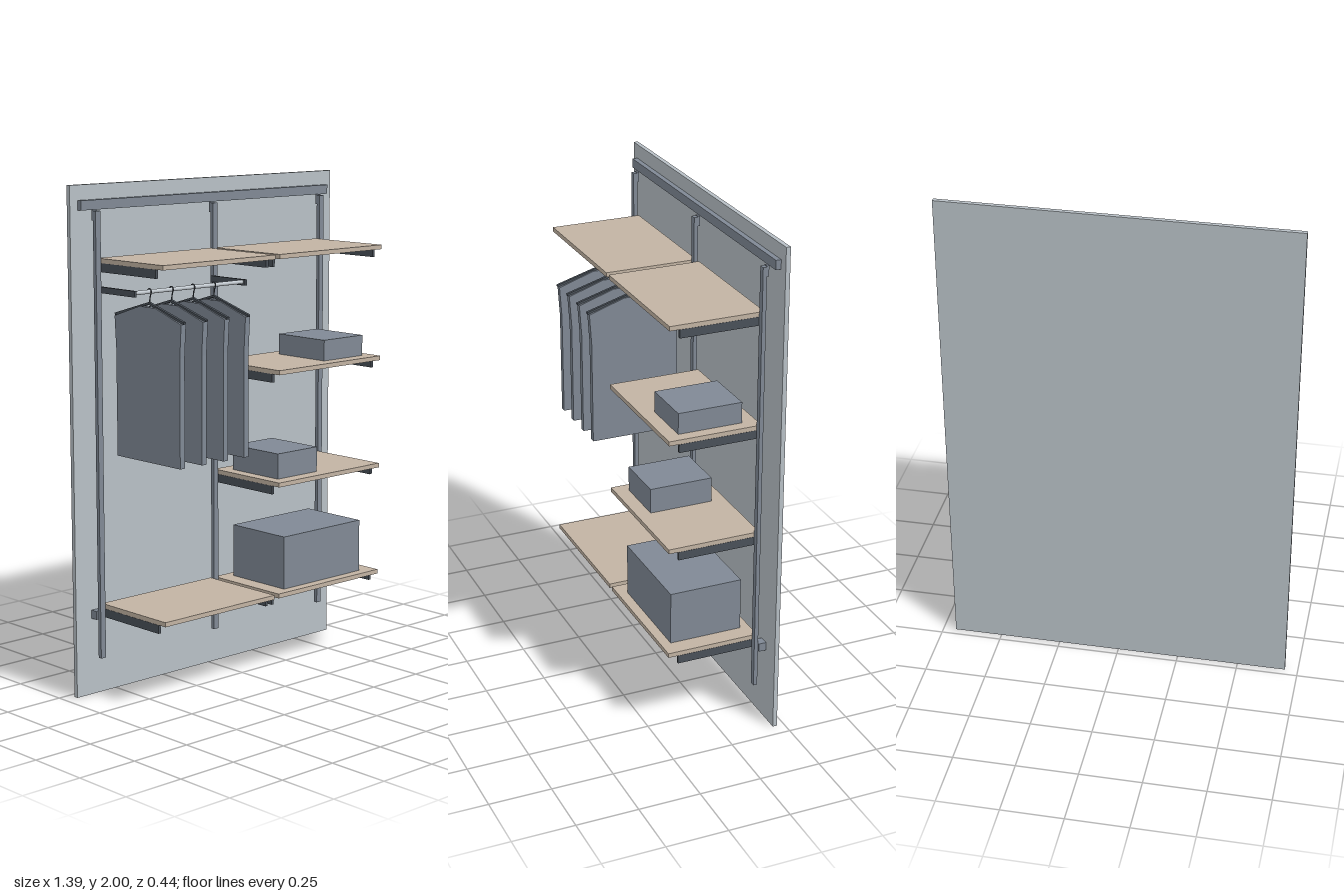
import * as THREE from 'three';

const mat = (name, color, side = THREE.FrontSide) => {
  const m = new THREE.MeshStandardMaterial({ color, side });
  m.name = name;
  return m;
};

export function createModel() {
  const group = new THREE.Group();
  const wallGrey = mat('wallGrey', 0xb8c0c6);
  const slateGrey = mat('slateGrey', 0x808995);
  const wood = mat('wood', 0xc2b3a3);
  const darkMetal = mat('darkMetal', 0x4a5159);
  const chrome = mat('chrome', 0xc5ccd2);

  const add = (name, geo, material, parent = group) => {
    const mesh = new THREE.Mesh(geo, material);
    mesh.name = name;
    parent.add(mesh);
    return mesh;
  };
  // box given by its lower and upper corners
  const box = (name, [x0, y0, z0], [x1, y1, z1], material) => {
    const mesh = add(name, new THREE.BoxGeometry(x1 - x0, y1 - y0, z1 - z0), material);
    mesh.position.set((x0 + x1) / 2, (y0 + y1) / 2, (z0 + z1) / 2);
    return mesh;
  };

  // wall panel and top hanging rail
  box('wallPanel', [-0.697, 0, -0.22], [0.697, 2, -0.202], wallGrey);
  box('topRail', [-0.66, 1.905, -0.202], [0.66, 1.942, -0.181], slateGrey);

  // uprights with their rail hooks and wall spacers
  for (const x of [-0.6, 0, 0.6]) {
    box('upright', [x - 0.012, 0.153, -0.171], [x + 0.012, 1.902, -0.155], slateGrey);
    box('railHook', [x - 0.01, 1.865, -0.18], [x + 0.01, 1.906, -0.171], slateGrey);
    box('wallSpacer', [x - 0.02, 0.308, -0.202], [x + 0.02, 0.342, -0.171], slateGrey);
  }

  // shelves, each on a pair of brackets
  const shelf = (x0, x1, top) => {
    box('shelf', [x0, top - 0.018, -0.177], [x1, top, 0.2], wood);
    for (const x of [x0 + 0.005, x1 - 0.005])
      box('shelfBracket', [x - 0.006, top - 0.052, -0.16], [x + 0.006, top - 0.018, 0.16], darkMetal);
  };
  for (const top of [1.722, 0.368]) shelf(-0.587, -0.012, top);
  for (const top of [1.722, 1.268, 0.82, 0.368]) shelf(0.012, 0.587, top);

  // clothes rod on two support arms
  const rodY = 1.604, rodZ = 0.022;
  for (const x of [-0.583, -0.017])
    box('rodSupport', [x - 0.005, 1.59, -0.16], [x + 0.005, 1.614, 0.04], darkMetal);
  const rod = add('clothesRod', new THREE.CylinderGeometry(0.008, 0.008, 0.57, 16), chrome);
  rod.rotation.z = Math.PI / 2;
  rod.position.set(-0.3, rodY, rodZ);

  // garment outline, seen from the side
  const half = [[0.045, 1.546], [0.192, 1.497], [0.184, 1.37], [0.183, 0.95]];
  const outline = [...half, ...half.map(([u, y]) => [-u, y]).reverse()]
    .map(([u, y]) => new THREE.Vector2(u, y));
  const garmentGeo = new THREE.ExtrudeGeometry(new THREE.Shape(outline), { depth: 0.024, bevelEnabled: false });
  garmentGeo.translate(0, 0, -0.012).rotateY(-Math.PI / 2);

  // hook wire over the rod and down to the hanger's neck
  const hookPoints = [];
  for (let i = 0; i <= 8; i++) {
    const a = -0.5 + (i / 8) * (Math.PI + 0.5);
    hookPoints.push(new THREE.Vector3(0, rodY + 0.011 * Math.sin(a), -0.011 * Math.cos(a)));
  }
  hookPoints.push(new THREE.Vector3(0, 1.587, 0.005), new THREE.Vector3(0, 1.56, 0));
  const hookGeo = new THREE.TubeGeometry(new THREE.CatmullRomCurve3(hookPoints), 24, 0.0025, 6);
  const armLength = Math.hypot(0.198, 0.058);
  const armGeo = new THREE.BoxGeometry(0.012, 0.009, armLength);

  for (const x of [-0.5, -0.39, -0.28, -0.172]) {
    const hanger = new THREE.Group();
    hanger.name = 'hangerWithGarment';
    hanger.position.set(x, 0, rodZ);
    group.add(hanger);
    add('garment', garmentGeo, slateGrey, hanger);
    add('hangerHook', hookGeo, darkMetal, hanger);
    for (const s of [-1, 1]) {
      const arm = add('hangerArm', armGeo, darkMetal, hanger);
      arm.position.set(0, 1.531, s * 0.099);
      arm.rotation.x = s * Math.atan2(0.058, 0.198);
    }
  }

  // storage boxes
  box('upperBox', [0.318, 1.268, -0.117], [0.54, 1.352, 0.143], slateGrey);
  box('middleBox', [0.06, 0.82, -0.117], [0.28, 0.922, 0.143], slateGrey);
  box('lowerBox', [0.08, 0.368, -0.138], [0.516, 0.583, 0.16], slateGrey);

  return group;
}
